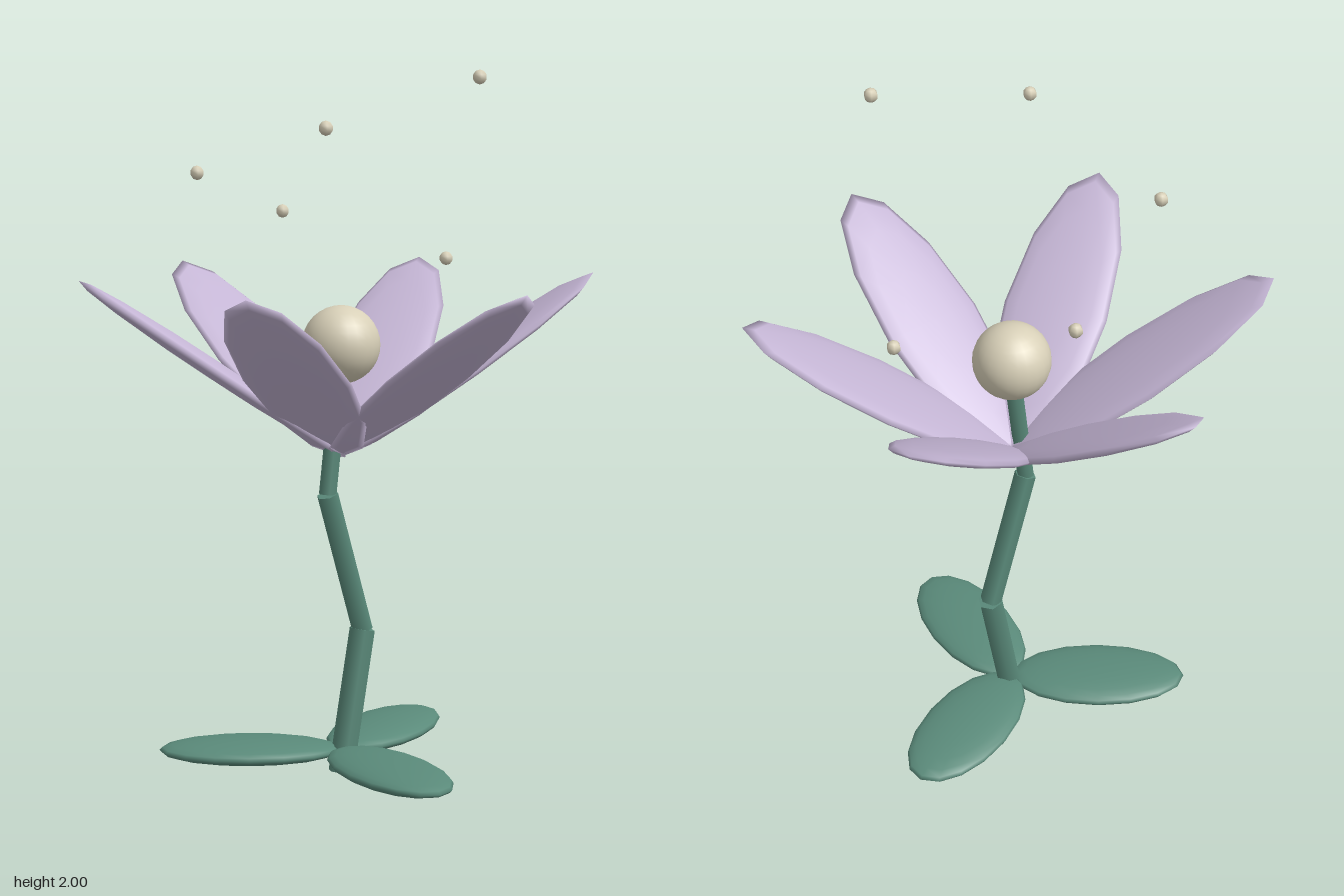
import * as THREE from 'three';

const mat = (name, color) => {
  const m = new THREE.MeshStandardMaterial({ color });
  m.name = name;
  return m;
};

export function createModel() {
  const green = mat('leafGreen', 0x5a8a7a);
  const lilac = mat('petalLilac', 0xc4b5d4);
  const cream = mat('pollenCream', 0xd8d0b8);

  const flower = new THREE.Group();
  flower.name = 'flower';
  const add = (parent, name, geometry, material) => {
    const mesh = new THREE.Mesh(geometry, material);
    mesh.name = name;
    parent.add(mesh);
    return mesh;
  };

  // Crooked stem: three straight six-sided segments, thinner towards the top
  const joints = [[0, 0.008], [0.08, 0.415], [-0.05, 0.82], [0, 1.2]]
    .map(([x, y]) => new THREE.Vector3(x, y, 0));
  [0.038, 0.032, 0.026].forEach((r, i) => {
    const dir = joints[i + 1].clone().sub(joints[i]);
    const geo = new THREE.CylinderGeometry(r, r, dir.length(), 6, 1, false, Math.PI / 2);
    const seg = add(flower, 'stemSegment' + (i + 1), geo, green);
    seg.position.addVectors(joints[i], joints[i + 1]).multiplyScalar(0.5);
    seg.rotation.z = -Math.atan2(dir.x, dir.y);
  });

  // Three flat leaves around the foot of the stem
  const leafGeo = new THREE.SphereGeometry(1, 16, 12).scale(0.26, 0.0325, 0.13);
  for (let i = 0; i < 3; i++) {
    const pivot = new THREE.Group();
    pivot.name = 'leaf' + (i + 1);
    pivot.rotation.y = 0.35 - i * Math.PI * 2 / 3;
    add(pivot, 'leafBlade', leafGeo, green).position.set(0.26, 0.075, 0);
    flower.add(pivot);
  }

  // Six petals rising outwards from the top of the stem
  const petalGeo = new THREE.SphereGeometry(1, 12, 8).scale(0.45, 0.026, 0.155);
  for (let i = 0; i < 6; i++) {
    const pivot = new THREE.Group();
    pivot.name = 'petal' + (i + 1);
    pivot.rotation.y = Math.PI / 6 + i * Math.PI / 3;
    const blade = add(pivot, 'petalBlade', petalGeo, lilac);
    blade.position.set(0.357, 1.176, 0);
    blade.rotation.z = 0.6;
    flower.add(pivot);
  }

  // Round centre
  add(flower, 'flowerCentre', new THREE.SphereGeometry(0.11, 24, 16), cream).position.y = 1.24;

  // Pollen grains floating upwards in a spiral
  const grainGeo = new THREE.SphereGeometry(0.02, 6, 5);
  for (let i = 0; i < 5; i++) {
    const a = -1.3 * i;
    add(flower, 'pollenGrain' + (i + 1), grainGeo, cream)
      .position.set(0.4 * Math.cos(a), 1.46 + 0.13 * i, 0.4 * Math.sin(a));
  }
  return flower;
}
